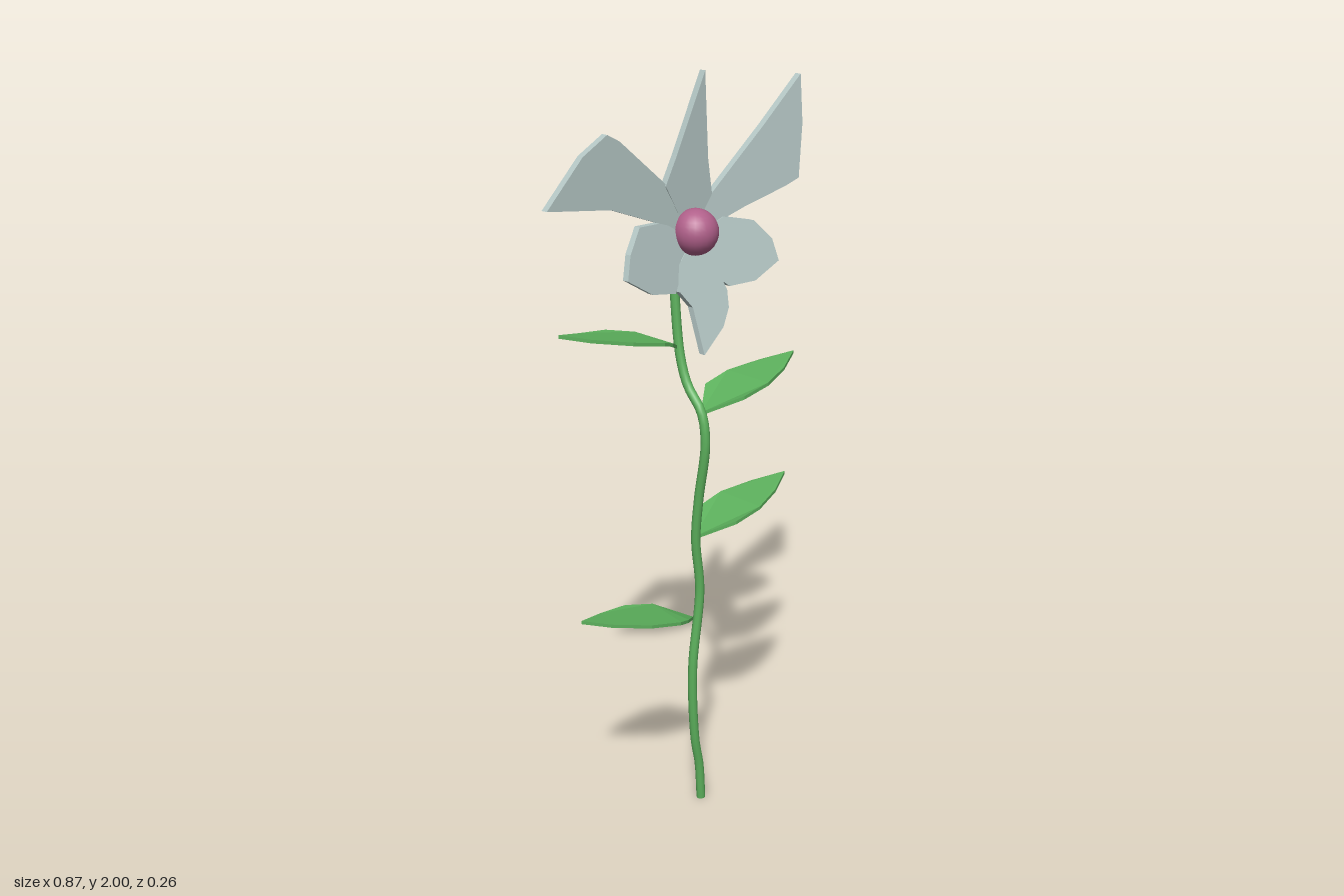
import * as THREE from 'three';

const green = new THREE.MeshStandardMaterial({ color: 0x5cb05c });
const pale = new THREE.MeshStandardMaterial({ color: 0xb4c6c4 });
const pink = new THREE.MeshStandardMaterial({ color: 0xb0608a });

// Thin plate cut from an outline of [x, y] points
function plate(points, depth) {
  const shape = new THREE.Shape(points.map(([x, y]) => new THREE.Vector2(x, y)));
  return new THREE.ExtrudeGeometry(shape, { depth, bevelEnabled: false });
}

// Piecewise linear lookup; table is [key, value] with keys ascending
function lookup(table, k) {
  for (let i = 1; i < table.length; i++) {
    const [k0, v0] = table[i - 1], [k1, v1] = table[i];
    if (k <= k1) return v0 + (v1 - v0) * (k - k0) / (k1 - k0);
  }
  return table[table.length - 1][1];
}

// Leaf: outline [x, z] lies level, then is lifted along x by the rise table
function makeLeaf(name, outline, rise, y, z) {
  const geo = plate(outline.map(([x, oz]) => [x, -oz]), 0.009).rotateX(-Math.PI / 2);
  const pos = geo.attributes.position;
  for (let i = 0; i < pos.count; i++) pos.setY(i, pos.getY(i) + lookup(rise, pos.getX(i)));
  geo.computeVertexNormals();
  const mesh = new THREE.Mesh(geo, green);
  mesh.name = name;
  mesh.position.set(0, y, z);
  return mesh;
}

// Petal: front outline, leaning forward by slopes in x and y from the flower centre
const centre = new THREE.Vector3(0.045, 1.62, 0.027);
function makePetal(name, outline, slopeX, slopeY) {
  const geo = plate(outline, 0.018);
  const pos = geo.attributes.position;
  for (let i = 0; i < pos.count; i++) {
    const dx = pos.getX(i) - centre.x, dy = pos.getY(i) - centre.y;
    pos.setZ(i, pos.getZ(i) - 0.01 + slopeX * dx + slopeY * dy);
  }
  geo.computeVertexNormals();
  const mesh = new THREE.Mesh(geo, pale);
  mesh.name = name;
  return mesh;
}

export function createModel() {
  const plant = new THREE.Group();
  plant.name = 'flower';

  // Winding stem that hooks forward into the back of the bloom
  const path = new THREE.CatmullRomCurve3([
    [0.07, 0, 0.035], [0.062, 0.11, 0.035], [0.045, 0.2, 0.035], [0.035, 0.42, 0.035],
    [0.06, 0.65, 0.035], [0.044, 0.8, 0.035], [0.042, 0.92, 0.047], [0.042, 1.08, 0.07],
    [0.042, 1.16, 0.055], [0.042, 1.22, 0.005], [0.042, 1.29, -0.022], [0.042, 1.42, -0.04],
    [0.042, 1.53, -0.045], [0.042, 1.585, -0.03], [0.042, 1.61, 0.0],
  ].map(p => new THREE.Vector3(...p)));
  const stem = new THREE.Mesh(new THREE.TubeGeometry(path, 70, 0.0125, 10), green);
  stem.name = 'stem';
  const foot = new THREE.Mesh(new THREE.CircleGeometry(0.0125, 10).rotateX(Math.PI / 2), green);
  foot.name = 'stemFoot';
  foot.position.set(0.07, 0.001, 0.035);
  plant.add(stem, foot);

  // Leaves, two each side
  const rightSide = [[0.04, 0.03], [-0.02, 0.075], [-0.06, 0.088], [-0.15, 0.072], [-0.24, 0.02],
    [-0.3, -0.03], [-0.21, -0.06], [-0.115, -0.07], [-0.03, -0.053]];
  const rightRise = [[-0.3, 0.085], [-0.21, 0.065], [-0.1, 0.05], [-0.03, 0.033], [0.04, 0]];
  const leftSide = [[0.04, 0], [0.125, 0.07], [0.21, 0.073], [0.3, 0.045], [0.385, 0],
    [0.3, -0.045], [0.21, -0.073], [0.125, -0.07]];
  const leftRise = [[0.04, 0], [0.125, 0.04], [0.21, 0.058], [0.3, 0.073], [0.385, 0.09]];
  plant.add(
    makeLeaf('lowerRightLeaf', rightSide, rightRise, 0.565, 0),
    makeLeaf('upperRightLeaf', rightSide, rightRise, 1.31, -0.06),
    makeLeaf('lowerLeftLeaf', leftSide, leftRise, 0.802, 0.035),
    makeLeaf('upperLeftLeaf', leftSide, leftRise, 1.152, 0.055),
  );

  // Six petals around the centre
  const bloom = new THREE.Group();
  bloom.name = 'bloom';
  const base = [0.045, 1.6];
  bloom.add(
    makePetal('topPetal', [base, [0.12, 1.7], [0.105, 1.79], [0.092, 2], [0, 1.81], [-0.037, 1.74]], 0, 0.005),
    makePetal('upperRightPetal', [base, [-0.035, 1.745], [-0.185, 1.865], [-0.225, 1.885],
      [-0.31, 1.847], [-0.437, 1.745], [-0.23, 1.715], [-0.05, 1.65]], -0.105, -0.088),
    makePetal('upperLeftPetal', [base, [0.17, 1.64], [0.22, 1.655], [0.36, 1.69], [0.405, 1.705],
      [0.43, 1.84], [0.435, 1.96], [0.3, 1.845], [0.12, 1.7]], 0.114, -0.131),
    makePetal('lowerRightPetal', [base, [-0.05, 1.655], [-0.14, 1.66], [-0.19, 1.605], [-0.215, 1.55],
      [-0.135, 1.503], [-0.05, 1.488], [-0.015, 1.53]], -0.16, -0.257),
    makePetal('lowerLeftPetal', [base, [0.1, 1.5], [0.13, 1.475], [0.21, 1.477], [0.293, 1.515],
      [0.285, 1.57], [0.24, 1.62], [0.15, 1.64]], 0.16, -0.29),
    makePetal('bottomPetal', [base, [-0.02, 1.55], [-0.04, 1.49], [-0.012, 1.45], [-0.016, 1.34],
      [0.07, 1.39], [0.105, 1.43], [0.115, 1.47], [0.095, 1.54]], 0, -0.41),
  );

  // Round flower centre
  const heart = new THREE.Mesh(new THREE.SphereGeometry(0.058, 24, 16), pink);
  heart.name = 'flowerCentre';
  heart.position.copy(centre);
  bloom.add(heart);
  plant.add(bloom);
  return plant;
}
